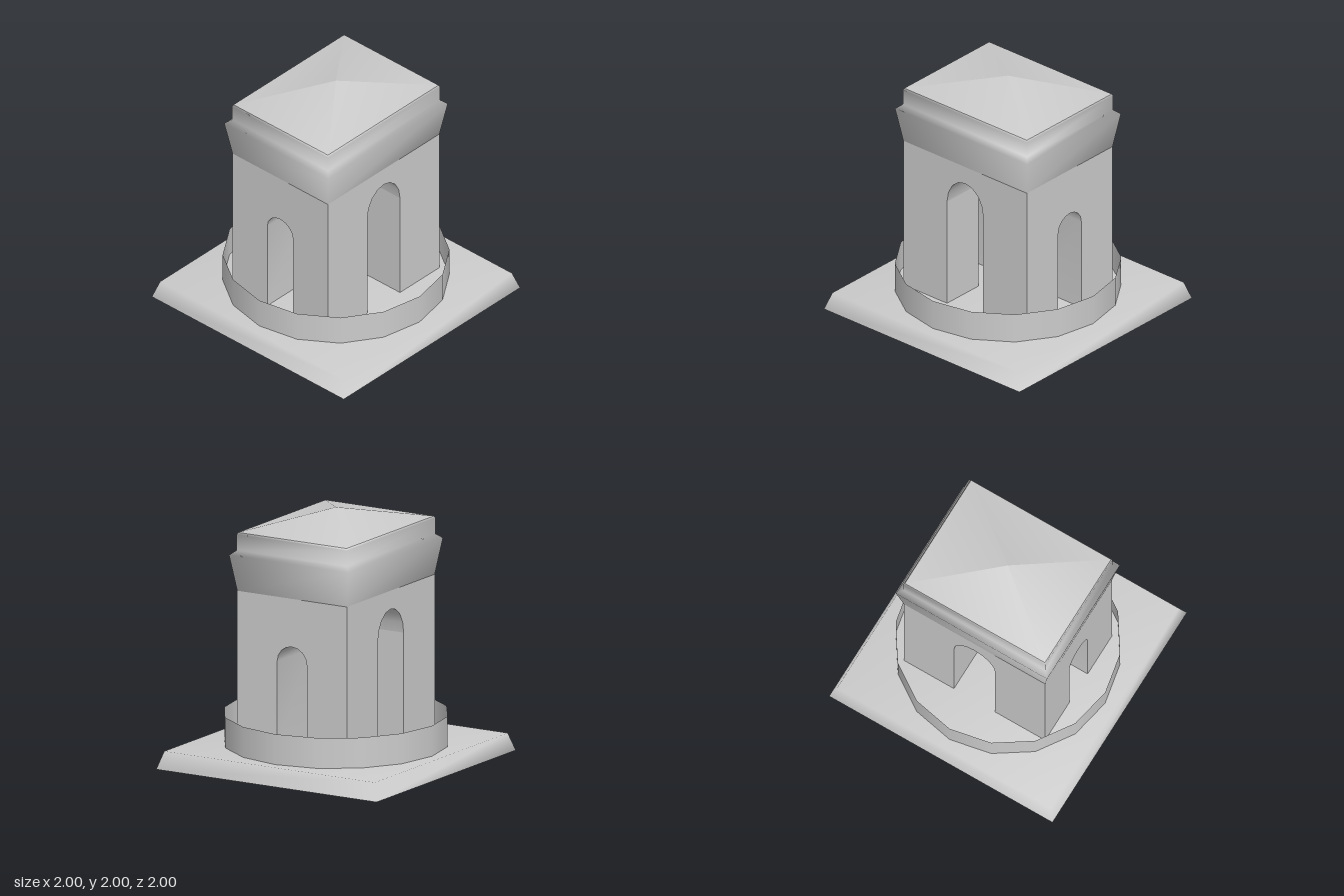
import * as THREE from 'three';
import { toCreasedNormals } from 'three/addons/utils/BufferGeometryUtils.js';

const stone = new THREE.MeshStandardMaterial({ color: 0xcccccc, side: THREE.DoubleSide });
stone.name = 'stone grey';

const FLOOR = 0.135, WALL_TOP = 1.4, HALF_X = 0.632, HALF_Z = 0.497;
const FRONT_ARCH = { half: 0.185, spring: 1.03, top: 1.255 };
const SIDE_ARCH = { half: 0.135, spring: 0.89, top: 1.02 };

function add(group, name, geometry) {
  const mesh = new THREE.Mesh(geometry, stone);
  mesh.name = name;
  group.add(mesh);
  return mesh;
}

// Smooth skin over stacked rectangles, each [halfX, halfZ, y]
function rectLoft(rings) {
  const positions = [], index = [];
  const corners = [[1, 1], [1, -1], [-1, -1], [-1, 1]];
  rings.forEach(([hx, hz, y], r) => {
    corners.forEach(([sx, sz], i) => {
      positions.push(sx * hx, y, sz * hz);
      if (r === rings.length - 1) return;
      const a = r * 4 + i, b = r * 4 + (i + 1) % 4;
      index.push(a, b, b + 4, a, b + 4, a + 4);
    });
  });
  const geometry = new THREE.BufferGeometry();
  geometry.setAttribute('position', new THREE.Float32BufferAttribute(positions, 3));
  geometry.setIndex(index);
  geometry.computeVertexNormals();
  return geometry;
}

// Half-round arch outline from left springing to right springing
function archPoints({ half, spring, top }, steps = 8) {
  return Array.from({ length: steps + 1 }, (_, i) => {
    const t = Math.PI * (1 - i / steps);
    return new THREE.Vector2(half * Math.cos(t), spring + (top - spring) * Math.sin(t));
  });
}

function extrude(points, depth) {
  const geometry = new THREE.ExtrudeGeometry(new THREE.Shape(points), { depth, bevelEnabled: false });
  geometry.translate(0, 0, -depth / 2);
  return toCreasedNormals(geometry, 0.6);
}

export function createModel() {
  const model = new THREE.Group();
  model.name = 'archTower';
  const p = (x, y) => new THREE.Vector2(x, y);

  // Sloped square plinth, open underneath
  add(model, 'plinth', rectLoft([[1, 1, 0], [0.955, 0.955, 0.14], [0, 0, 0.14]]));

  // Thin round parapet
  const parapet = add(model, 'parapet', new THREE.CylinderGeometry(0.87, 0.87, 0.38 - FLOOR, 16, 1, true));
  parapet.position.y = (0.38 + FLOOR) / 2;

  // Side walls, each pierced by the smaller arch
  const sideDepth = HALF_X - FRONT_ARCH.half;
  const sideOutline = [
    p(-HALF_Z, FLOOR), p(-SIDE_ARCH.half, FLOOR),
    ...archPoints(SIDE_ARCH),
    p(SIDE_ARCH.half, FLOOR), p(HALF_Z, FLOOR),
    p(HALF_Z, WALL_TOP), p(-HALF_Z, WALL_TOP),
  ];
  for (const side of [1, -1]) {
    const wall = add(model, side > 0 ? 'leftWall' : 'rightWall', extrude(sideOutline, sideDepth));
    wall.rotation.y = Math.PI / 2;
    wall.position.x = side * (FRONT_ARCH.half + sideDepth / 2);
  }

  // Vault over the main passage
  add(model, 'mainVault', extrude([
    ...archPoints(FRONT_ARCH), p(FRONT_ARCH.half, WALL_TOP), p(-FRONT_ARCH.half, WALL_TOP),
  ], 2 * HALF_Z));

  // Flared cornice and attic band
  add(model, 'cornice', rectLoft([
    [HALF_X, HALF_Z, WALL_TOP], [0.677, 0.543, 1.685], [0.635, 0.5, 1.72],
    [0.635, 0.5, 1.845], [0.627, 0.492, 1.86],
  ]));

  // Low hipped roof
  add(model, 'roof', rectLoft([[0.627, 0.492, 1.86], [0, 0, 1.995]]));

  return model;
}
